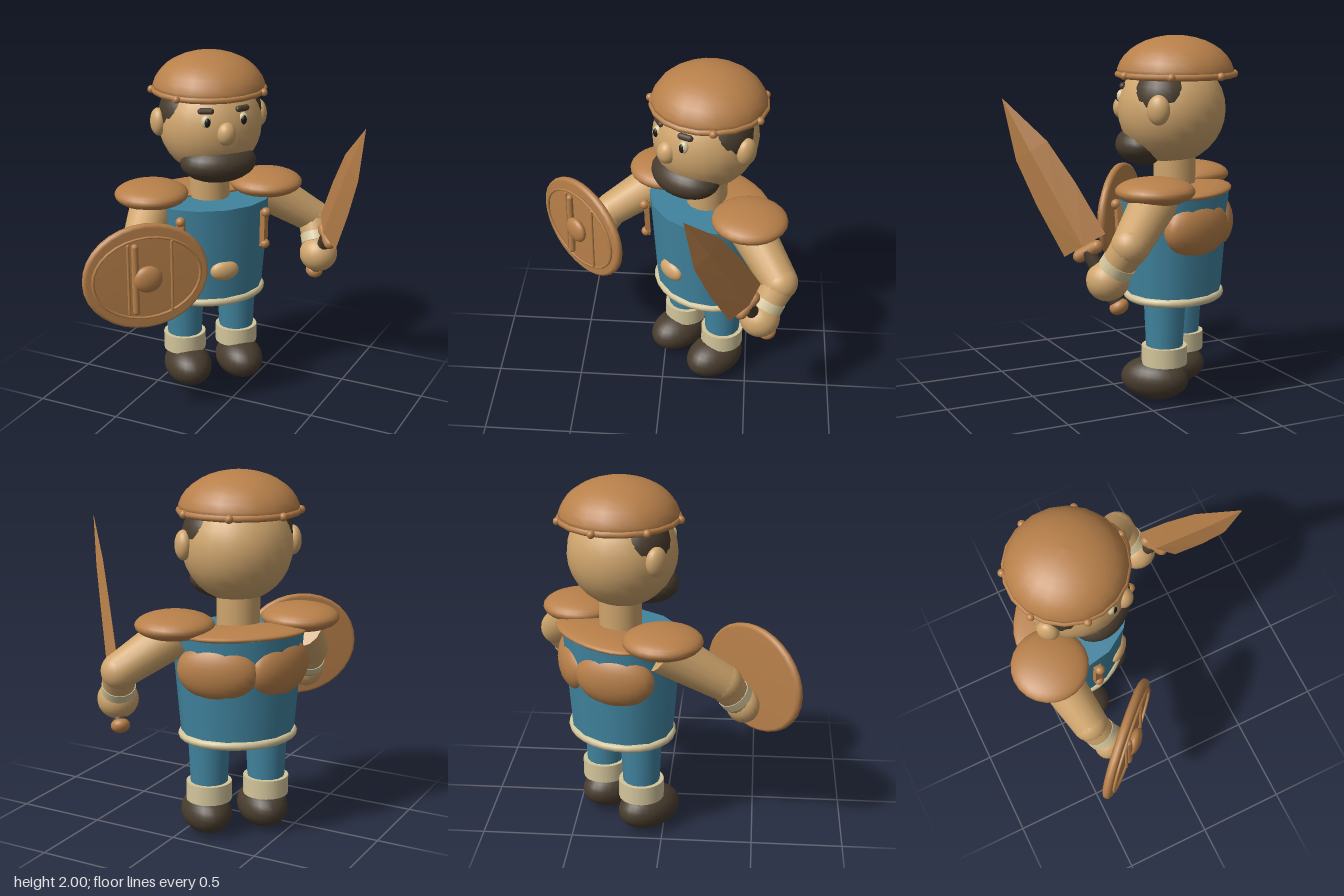
import * as THREE from 'three';
import { ConvexGeometry } from 'three/addons/geometries/ConvexGeometry.js';

const mat = (name, color) => new THREE.MeshStandardMaterial({ name, color });

export function createModel() {
  const leather = mat('leather brown', 0xb8804a);
  const skin = mat('skin', 0xcfa56d);
  const cream = mat('cream trim', 0xd4c69c);
  const blue = mat('tunic blue', 0x41849f);
  const dark = mat('dark brown', 0x483c2e);
  const black = mat('pupil black', 0x1c1916);

  const model = new THREE.Group();
  model.name = 'guard';
  // The figure stands turned 45 degrees
  const figure = new THREE.Group();
  figure.name = 'figure';
  figure.position.set(-0.26, 0, -0.235);
  figure.rotation.y = Math.PI / 4;
  model.add(figure);

  const add = (name, geo, material, pos = [0, 0, 0], parent = figure) => {
    const m = new THREE.Mesh(geo, material);
    m.name = name;
    m.position.set(...pos);
    parent.add(m);
    return m;
  };
  const ball = (name, material, pos, radii, parent = figure) => {
    const m = add(name, new THREE.SphereGeometry(1, 24, 16), material, pos, parent);
    m.scale.set(...radii);
    return m;
  };
  // Tapered cylinder between two points
  const limb = (name, a, b, r0, r1, material) => {
    const A = new THREE.Vector3(...a), B = new THREE.Vector3(...b);
    const d = B.clone().sub(A);
    const m = add(name, new THREE.CylinderGeometry(r1, r0, d.length(), 16), material);
    m.position.copy(A).add(B).multiplyScalar(0.5);
    m.quaternion.setFromUnitVectors(new THREE.Vector3(0, 1, 0), d.normalize());
    return m;
  };
  const lerp = (a, b, t) => a.map((v, i) => v + (b[i] - v) * t);

  // Tunic
  add('torso', new THREE.CylinderGeometry(0.36, 0.31, 0.575, 14), blue, [0, 0.868, 0]).scale.z = 0.84;
  const hem = add('tunicHem', new THREE.TorusGeometry(0.305, 0.023, 10, 28), cream, [0, 0.582, 0]);
  hem.rotation.x = Math.PI / 2;
  hem.scale.y = 0.84;
  ball('belly', skin, [0, 0.78, 0.265], [0.085, 0.06, 0.04]);
  ball('backCollar', leather, [0, 1.165, -0.14], [0.33, 0.035, 0.165]);

  // Head
  add('neck', new THREE.CylinderGeometry(0.116, 0.116, 0.27, 16), skin, [0, 1.255, 0]);
  ball('head', skin, [0, 1.6, 0.02], [0.295, 0.295, 0.295]);
  ball('nose', skin, [0, 1.6, 0.3], [0.055, 0.066, 0.055]);
  ball('beard', dark, [0, 1.405, 0.163], [0.22, 0.115, 0.166]);

  // Helmet dome with a closed underside
  const dome = [new THREE.Vector2(0, 0)];
  for (let i = 0; i <= 9; i++) {
    const t = (i / 9) * Math.PI / 2;
    dome.push(new THREE.Vector2(0.32 * Math.cos(t), 0.215 * Math.sin(t)));
  }
  add('helmetDome', new THREE.LatheGeometry(dome, 20), leather, [0, 1.785, 0]);
  add('helmetRim', new THREE.TorusGeometry(0.312, 0.018, 8, 20), leather, [0, 1.79, 0]).rotation.x = Math.PI / 2;

  // Parts that mirror left and right
  for (const s of [1, -1]) {
    const side = s > 0 ? 'left' : 'right';
    ball(side + 'Ear', skin, [s * 0.3, 1.62, 0], [0.045, 0.08, 0.062]);
    ball(side + 'Hair', dark, [s * 0.113, 1.665, 0.02], [0.184, 0.184, 0.184]);
    ball(side + 'Eye', cream, [s * 0.105, 1.67, 0.272], [0.03, 0.037, 0.026]);
    ball(side + 'Pupil', black, [s * 0.105, 1.668, 0.29], [0.017, 0.026, 0.014]);
    const brow = add(side + 'Brow', new THREE.CapsuleGeometry(0.018, 0.055, 4, 10), dark, [s * 0.105, 1.727, 0.265]);
    brow.rotation.set(0, s * 0.35, Math.PI / 2);
    for (const a of [51, 103, 154]) {
      const t = s * a * Math.PI / 180;
      ball('helmetRivet', leather, [0.325 * Math.sin(t), 1.79, 0.325 * Math.cos(t)], [0.022, 0.022, 0.022]);
    }

    // Shoulder pads, back plates and chest straps
    ball(side + 'ShoulderPad', leather, [s * 0.35, 1.2, 0], [0.212, 0.074, 0.212]);
    const plate = ball(side + 'BackPlate', leather, [s * 0.165, 0.98, -0.175], [0.22, 0.16, 0.105]);
    plate.rotation.y = -s * 0.52;
    const strap = add(side + 'Strap', new THREE.BoxGeometry(0.045, 0.22, 0.03), leather, [s * 0.25, 1.0, 0.235]);
    strap.rotation.set(0.05, s * 0.7, 0);
    for (const y of [0.905, 1.1])
      ball(side + 'StrapStud', leather, [s * 0.255, y, 0.245 + (y - 1) * 0.06], [0.028, 0.028, 0.028]);

    // Legs and shoes
    const x = s * 0.163;
    add(side + 'Leg', new THREE.CylinderGeometry(0.118, 0.1, 0.36, 16), blue, [x, 0.45, 0]);
    add(side + 'LegCuff', new THREE.CylinderGeometry(0.125, 0.125, 0.105, 20), cream, [x, 0.262, 0]);
    ball(side + 'Shoe', dark, [x, 0.118, 0.055], [0.137, 0.118, 0.192]);
  }

  // Arms
  const arms = [
    ['left', [0.35, 1.15, 0], [0.64, 0.96, 0.039], [0.626, 0.77, 0.166]],
    ['right', [-0.343, 1.15, 0], [-0.52, 0.94, 0.28], [-0.541, 0.78, 0.4]],
  ];
  for (const [side, shoulder, elbow, hand] of arms) {
    limb(side + 'UpperArm', shoulder, elbow, 0.125, 0.1, skin);
    ball(side + 'Elbow', skin, elbow, [0.1, 0.1, 0.1]);
    limb(side + 'Forearm', elbow, hand, 0.097, 0.078, skin);
    limb(side + 'WristCuff', lerp(elbow, hand, 0.46), lerp(elbow, hand, 0.7), 0.092, 0.092, cream);
    ball(side + 'Hand', skin, hand, side === 'left' ? [0.112, 0.108, 0.112] : [0.1, 0.1, 0.085]);
  }

  // Sword, leaning forward from the left hand
  const sword = new THREE.Group();
  sword.name = 'sword';
  sword.position.set(0.629, 0.945, 0.29);
  sword.rotation.x = 0.547;
  figure.add(sword);
  const bladePoints = [new THREE.Vector3(0, 0.872, 0)];
  for (const [y, w, t] of [[0, 0.132, 0.032], [0.3, 0.127, 0.026], [0.56, 0.103, 0.02]])
    for (const s of [1, -1])
      bladePoints.push(new THREE.Vector3(0, y, s * w), new THREE.Vector3(s * t, y, 0));
  add('blade', new ConvexGeometry(bladePoints), leather, [0, 0, 0], sword);
  const guard = add('crossguard', new THREE.CapsuleGeometry(0.035, 0.11, 4, 12), leather, [0, -0.035, 0], sword);
  guard.rotation.x = Math.PI / 2;
  add('grip', new THREE.CylinderGeometry(0.038, 0.038, 0.32, 12), dark, [0, -0.19, 0], sword);
  ball('pommel', leather, [0, -0.36, 0], [0.052, 0.04, 0.052], sword);

  // Oval shield in front of the right hand
  const shield = new THREE.Group();
  shield.name = 'shield';
  shield.position.set(-0.527, 0.908, 0.496);
  figure.add(shield);
  const rimProfile = [[0, -0.025], [0.33, -0.025], [0.348, -0.015], [0.352, 0], [0.348, 0.015], [0.33, 0.025], [0, 0.025]]
    .map(([r, y]) => new THREE.Vector2(r, y));
  const disc = new THREE.LatheGeometry(rimProfile, 32).rotateX(Math.PI / 2);
  add('shieldDisc', disc, leather, [0, 0, 0], shield).scale.y = 0.855;
  add('shieldRing', new THREE.TorusGeometry(0.3, 0.009, 6, 32), leather, [0, 0, 0.031], shield).scale.y = 0.77;
  for (const [x, r] of [[-0.105, 0.008], [-0.067, 0.02], [0.137, 0.008]])
    add('shieldBar', new THREE.CapsuleGeometry(r, 0.41 - 2 * r, 4, 10), leather, [x, 0, 0.037], shield);
  ball('shieldBoss', leather, [0, 0, 0.05], [0.08, 0.075, 0.035], shield);

  return model;
}
